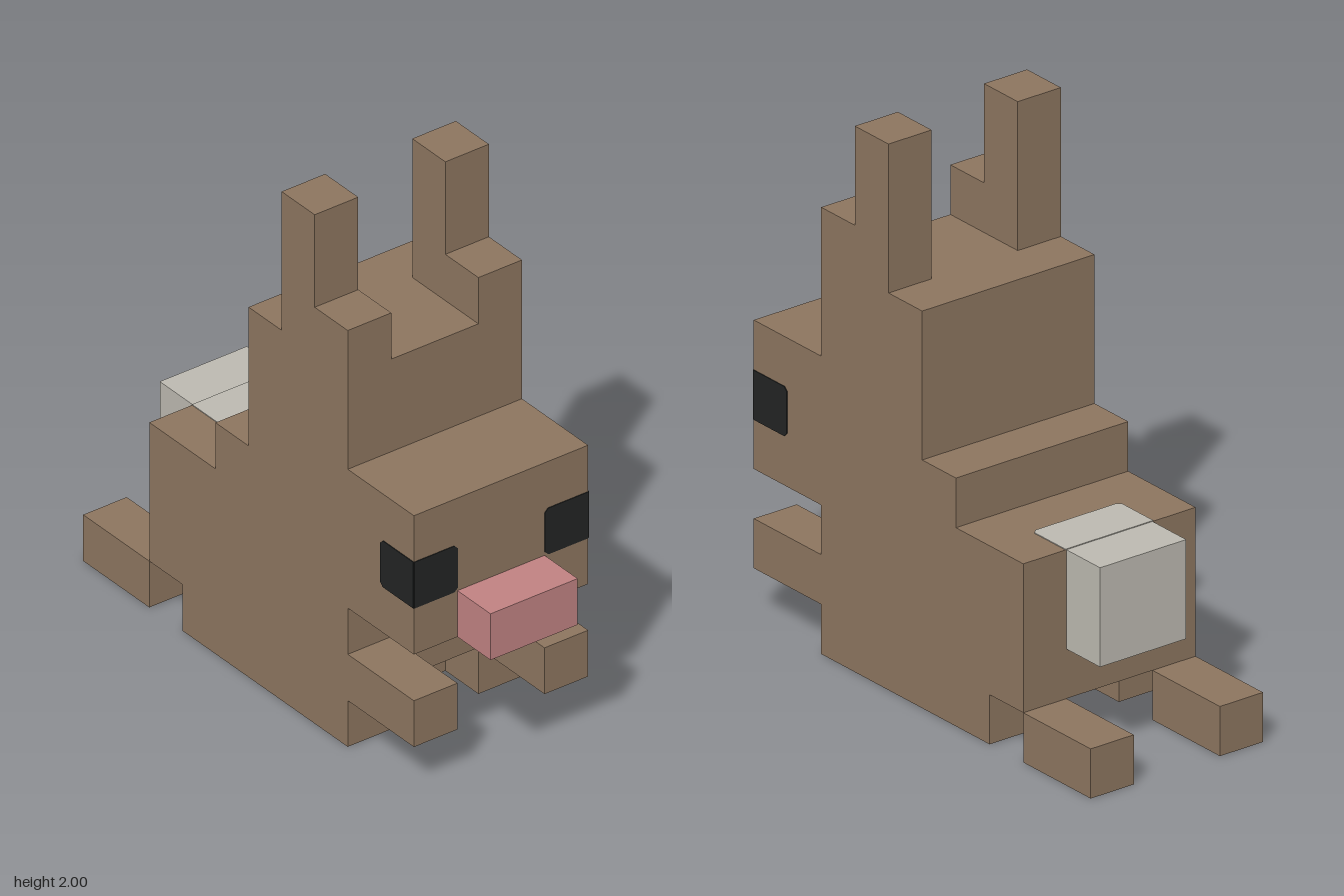
import * as THREE from 'three';

const U = 2 / 11; // one block
const T = 0.003;  // thickness of painted plates

function material(name, color) {
  const m = new THREE.MeshStandardMaterial({ color });
  m.name = name;
  return m;
}

export function createModel() {
  const model = new THREE.Group();
  model.name = 'blockRabbit';
  const fur = material('brownFur', 0x8c755f);
  const pink = material('pinkNose', 0xc08282);
  const grey = material('greyTail', 0xbcb9b0);
  const black = material('blackEyes', 0x222424);

  const add = (name, geometry, mat) => {
    const mesh = new THREE.Mesh(geometry, mat);
    mesh.name = name;
    model.add(mesh);
    return mesh;
  };

  // Box from minimum to maximum corner, in blocks
  const block = (name, mat, [x0, y0, z0], [x1, y1, z1]) => {
    const geometry = new THREE.BoxGeometry((x1 - x0) * U, (y1 - y0) * U, (z1 - z0) * U);
    add(name, geometry, mat).position.set((x0 + x1) / 2 * U, (y0 + y1) / 2 * U, (z0 + z1) / 2 * U);
  };

  // The same box on both sides of the model
  const pair = (name, mat, [x0, y0, z0], [x1, y1, z1]) => {
    block(name + 'Left', mat, [x0, y0, z0], [x1, y1, z1]);
    block(name + 'Right', mat, [-x1, y0, z0], [-x0, y1, z1]);
  };

  // Thin plate with two clipped corners on its inner edge, centred in height
  const plate = (w, h) => {
    const c = 0.014;
    const W = w * U, H = h * U / 2;
    const shape = new THREE.Shape([
      [c, -H], [W, -H], [W, H], [c, H], [0, H - c], [0, c - H],
    ].map(([x, y]) => new THREE.Vector2(x, y)));
    return new THREE.ExtrudeGeometry(shape, { depth: T, bevelEnabled: false });
  };

  // Body and head: side profile (z, y) in blocks, drawn across the width
  const profile = new THREE.Shape([
    [-3.5, 1], [2.5, 1], [2.5, 3], [4.5, 3], [4.5, 6], [2.5, 6], [2.5, 8],
    [-0.5, 8], [-0.5, 5], [-1.5, 5], [-1.5, 4], [-3.5, 4],
  ].map(([z, y]) => new THREE.Vector2(z * U, y * U)));
  const body = new THREE.ExtrudeGeometry(profile, { depth: 4 * U, bevelEnabled: false });
  body.rotateY(-Math.PI / 2).translate(2 * U, 0, 0);
  add('bodyAndHead', body, fur);

  // Belly base with a stub at each corner
  block('belly', fur, [-2, 0, -1.5], [2, 1, 1.5]);
  pair('frontStub', fur, [1, 0, 1.5], [2, 1, 2.5]);
  pair('backStub', fur, [1, 0, -2.5], [2, 1, -1.5]);

  // Paws, hind feet and ears
  pair('frontPaw', fur, [1, 1, 2.5], [2, 2, 4.5]);
  pair('hindFoot', fur, [1, 0, -5.5], [2, 1, -3.5]);
  pair('earBase', fur, [1, 8, 1.5], [2, 9, 2.5]);
  pair('ear', fur, [1, 8, 0.5], [2, 11, 1.5]);

  // Nose and tail, with the tail's patch on the back
  block('nose', pink, [-1, 3, 4.5], [1, 4, 5.5]);
  block('tail', grey, [-1, 2, -4.5], [1, 4, -3.5]);
  const patch = plate(1, 2.04).rotateX(-Math.PI / 2).rotateY(Math.PI / 2);
  add('tailPatch', patch, grey).position.set(0, 4 * U, -2.5 * U);

  // Eyes wrap round the front corners of the head
  for (const [side, s] of [['Left', 1], ['Right', -1]]) {
    const front = plate(1, 1);
    if (s < 0) front.rotateZ(Math.PI);
    add('eyeFront' + side, front, black).position.set(s * U, 4.5 * U, 4.5 * U);
    const outer = plate(1, 1).rotateY(-Math.PI / 2);
    add('eyeSide' + side, outer, black).position.set(s * 2 * U + (s > 0 ? T : 0), 4.5 * U, 3.5 * U);
  }

  return model;
}
